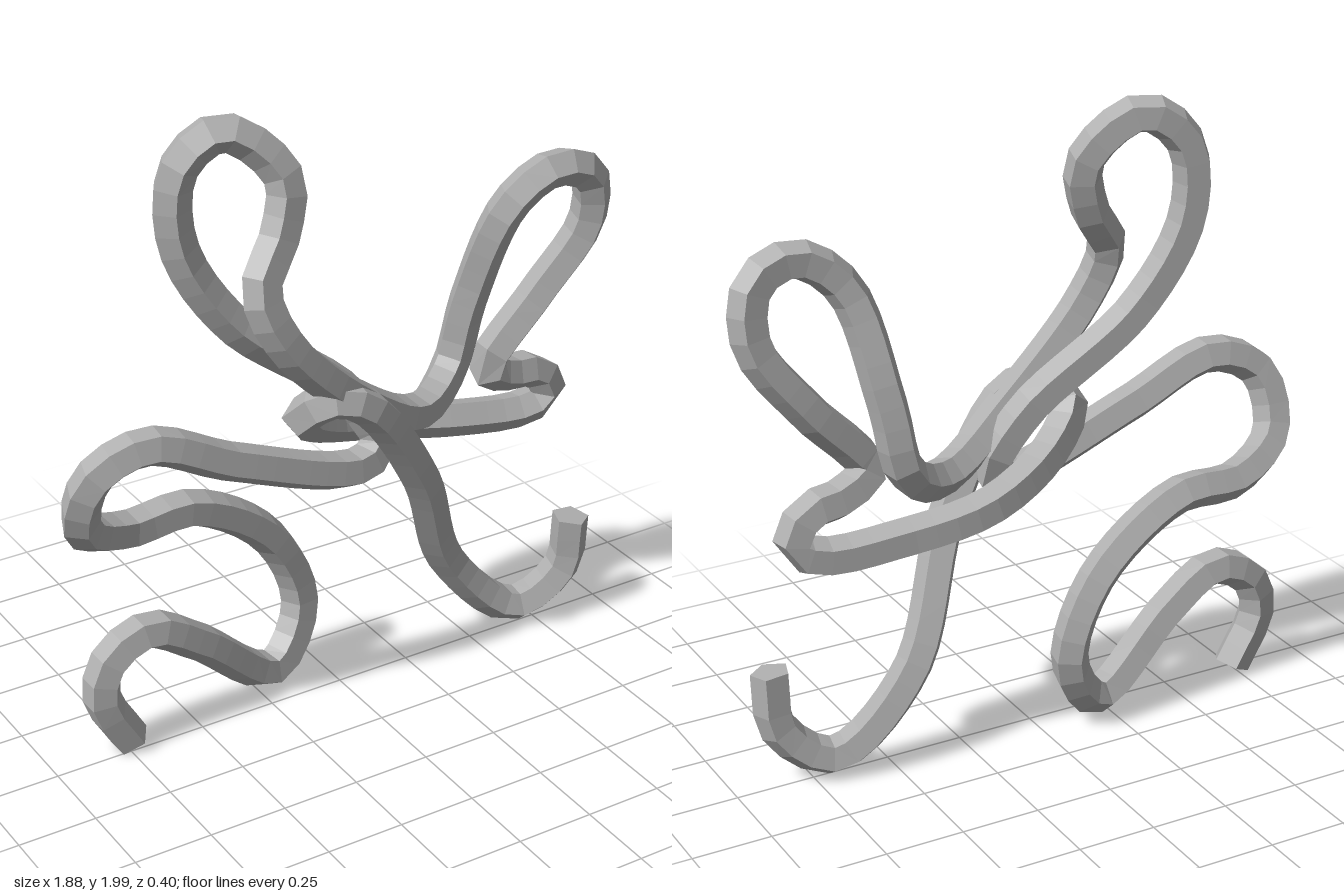
import * as THREE from 'three';

const RADIUS = 0.062, SIDES = 5, SEGMENTS = 180;

// Centre line of the lace, from the right hooked end to the left tail
const PATH = [
  // right tail, rising diagonally to the knot
  [0.858, 0.375, 0.045], [0.84, 0.18, 0.03], [0.68, 0.068, -0.01], [0.43, 0.31, -0.04],
  [0.23, 0.74, 0.09], [0, 1.06, 0.15],
  // wrap around the knot and out to the short right bend
  [-0.1, 1.095, 0.13], [-0.17, 1.04, 0.07], [-0.06, 0.94, -0.03], [0.2, 0.835, -0.12],
  [0.5, 0.778, -0.09], [0.73, 0.765, -0.06], [0.805, 0.805, -0.045], [0.76, 0.9, -0.04],
  [0.64, 0.925, -0.03], [0.54, 0.985, 0],
  // right loop
  [0.72, 1.2, 0.01], [0.87, 1.42, 0.045], [0.85, 1.59, 0.065], [0.72, 1.64, 0.07],
  [0.58, 1.54, 0.04], [0.5, 1.2, -0.06], [0.45, 0.975, -0.08], [0.28, 0.905, 0.01],
  // upper left loop, up the front and down the back
  [0.03, 1.04, 0.1], [-0.26, 1.32, 0.13], [-0.325, 1.5, 0.1], [-0.24, 1.63, 0.06],
  [-0.205, 1.8, 0.03], [-0.36, 1.945, -0.04], [-0.49, 1.85, -0.075], [-0.5, 1.62, -0.08],
  [-0.34, 1.34, -0.05], [0, 1.06, 0.01], [0.105, 0.87, 0.05],
  // left strand and its bend
  [0.02, 0.82, 0.085], [-0.42, 0.965, 0.1], [-0.7, 1.085, 0.08], [-0.86, 1.01, 0.05],
  [-0.87, 0.82, -0.02], [-0.7, 0.725, -0.09], [-0.46, 0.72, -0.11], [-0.17, 0.52, -0.13],
  [-0.07, 0.25, -0.13], [-0.2, 0.077, -0.085],
  // left tail
  [-0.48, 0.29, -0.04], [-0.66, 0.395, -0.03], [-0.79, 0.335, -0.03], [-0.825, 0.21, -0.03],
  [-0.735, 0.03, -0.03],
];

// Flat cap over one end ring of the tube
function endCap(tube, centre, ring, atStart, material) {
  const p = tube.attributes.position, corner = new THREE.Vector3(), vertices = [];
  const push = (i) => vertices.push(...corner.fromBufferAttribute(p, ring * (SIDES + 1) + i).toArray());
  for (let i = 0; i < SIDES; i++) {
    vertices.push(...centre.toArray());
    push(atStart ? i + 1 : i);
    push(atStart ? i : i + 1);
  }
  const geometry = new THREE.BufferGeometry();
  geometry.setAttribute('position', new THREE.Float32BufferAttribute(vertices, 3));
  geometry.computeVertexNormals();
  const cap = new THREE.Mesh(geometry, material);
  cap.name = atStart ? 'rightEndCap' : 'leftEndCap';
  return cap;
}

export function createModel() {
  const group = new THREE.Group();
  group.name = 'tiedLace';
  const grey = new THREE.MeshStandardMaterial({ color: 0xb0b0b0, flatShading: true, side: THREE.DoubleSide });
  grey.name = 'lace grey';

  // Five-sided cord swept along the whole path
  const curve = new THREE.CatmullRomCurve3(PATH.map((p) => new THREE.Vector3(...p)), false, 'centripetal');
  curve.arcLengthDivisions = 1000;
  const tube = new THREE.TubeGeometry(curve, SEGMENTS, RADIUS, SIDES, false);
  const lace = new THREE.Mesh(tube, grey);
  lace.name = 'lace';

  group.add(lace,
    endCap(tube, curve.getPointAt(0), 0, true, grey),
    endCap(tube, curve.getPointAt(1), SEGMENTS, false, grey));
  return group;
}
